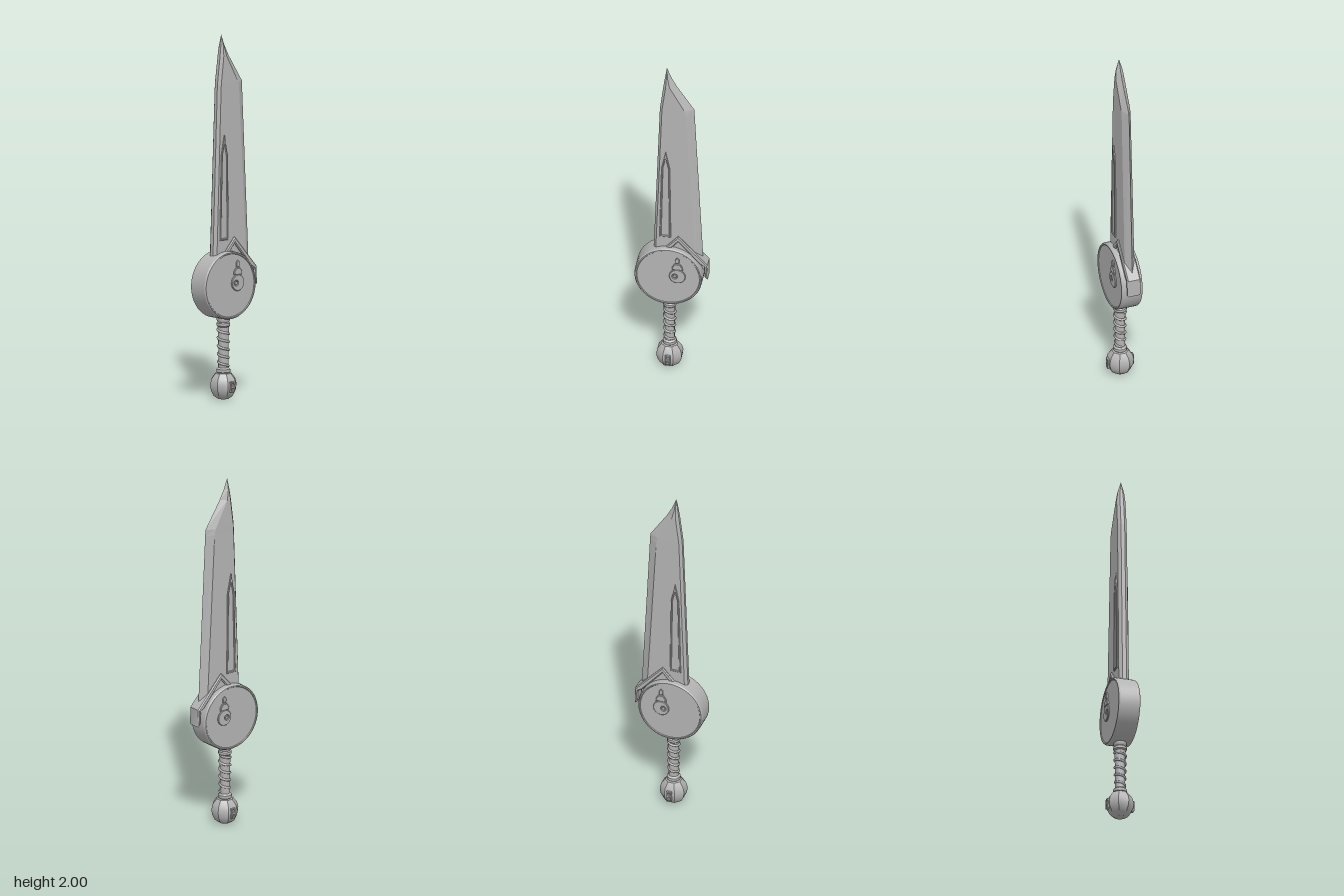
import * as THREE from 'three';
import { toCreasedNormals } from 'three/addons/utils/BufferGeometryUtils.js';

const AXIS_X = -0.015; // shared centre line of handle, pommel and disc
const DISC_Y = 0.627;

export function createModel() {
  const model = new THREE.Group();
  model.name = 'sword';
  const steel = new THREE.MeshStandardMaterial({ color: 0xb4b4b4 });

  const add = (name, geometry, x = 0, y = 0, z = 0) => {
    const mesh = new THREE.Mesh(geometry, steel);
    mesh.name = name;
    mesh.position.set(x, y, z);
    model.add(mesh);
    return mesh;
  };
  const poly = (pts) => new THREE.Shape(pts.map(([x, y]) => new THREE.Vector2(x, y)));
  const circle = (x, y, r) => new THREE.Shape().absarc(x, y, r, 0, Math.PI * 2, false);
  // Slab spanning -half..half in z, so its detail shows on both faces
  const slab = (shape, half, bevel = 0) => {
    const g = new THREE.ExtrudeGeometry(shape, {
      depth: 2 * (half - bevel), bevelEnabled: bevel > 0, bevelThickness: bevel,
      bevelSize: bevel, bevelOffset: -bevel, bevelSegments: 1, curveSegments: 16,
    });
    return toCreasedNormals(g.translate(0, 0, bevel - half), 0.5);
  };
  const lathe = (pts, sides, crease = 0.5) => toCreasedNormals(
    new THREE.LatheGeometry(pts.map(([r, y]) => new THREE.Vector2(r, y)), sides, Math.PI / sides), crease);

  // Blade: stations of [y, back edge x, cutting edge x, half thickness, bevel width]
  const stations = [
    [0.66, -0.106, 0.173, 0.029, 0.04],
    [1.70, -0.069, 0.122, 0.026, 0.045],
    [1.735, -0.067, 0.12, 0.026, 0.05],
    [1.885, -0.048, 0.022, 0.025, 0.035],
    [1.94, -0.04, -0.007, 0.018, 0.018],
    [2.0, -0.031, -0.03, 0.0005, 0.0005],
  ];
  const rings = stations.map(([y, l, r, t, b]) => {
    const a = Math.min(0.014, b * 0.5);
    return [[l, t * 0.4], [l + a, t], [r - b, t], [r, 0], [r - b, -t], [l + a, -t], [l, -t * 0.4]]
      .map(([x, z]) => [x, y, z]);
  });
  const verts = [];
  for (let i = 0; i < rings.length - 1; i++) {
    const lo = rings[i], hi = rings[i + 1];
    for (let j = 0; j < lo.length; j++) {
      const k = (j + 1) % lo.length;
      verts.push(...lo[j], ...lo[k], ...hi[k], ...lo[j], ...hi[k], ...hi[j]);
    }
  }
  const bladeGeo = new THREE.BufferGeometry();
  bladeGeo.setAttribute('position', new THREE.Float32BufferAttribute(verts, 3));
  bladeGeo.computeVertexNormals();
  add('blade', bladeGeo);

  // Raised pointed frame along the back of the blade
  const frame = poly([[-0.067, 0.875], [-0.004, 0.875], [-0.01, 1.34], [-0.034, 1.452], [-0.056, 1.34]]);
  frame.holes.push(poly([[-0.057, 0.886], [-0.048, 1.338], [-0.034, 1.405], [-0.018, 1.338], [-0.013, 0.886]]));
  add('bladeFrame', slab(frame, 0.034, 0.003));

  // Angled guard wrapped over the blade root, with a short hook at the side
  add('guard', slab(poly([
    [-0.045, 0.795], [0.037, 0.888], [0.198, 0.712], [0.198, 0.612], [0.182, 0.632],
    [0.178, 0.7], [0.155, 0.715], [0.037, 0.852], [-0.01, 0.795],
  ]), 0.039, 0.006));

  // Round hub with a thin raised rim on both faces
  const half = [[0.186, 0.053], [0.181, 0.061], [0.175, 0.061], [0.172, 0.057], [0, 0.057]];
  const hubProfile = [...half.map(([r, y]) => [r, -y]).reverse(), ...half];
  add('hub', lathe(hubProfile, 48).rotateX(Math.PI / 2), AXIS_X, DISC_Y);

  // Hub ornament: pierced disc, neck and cap
  const ornament = circle(0.036, 0.638, 0.045);
  ornament.holes.push(circle(0.022, 0.638, 0.014));
  add('ornamentDisc', slab(ornament, 0.065, 0.003));
  add('ornamentStud', slab(circle(0.022, 0.638, 0.009), 0.064));
  add('ornamentNeck', slab(poly([
    [0.006, 0.682], [0.066, 0.682], [0.064, 0.7], [0.05, 0.72], [0.022, 0.72], [0.008, 0.7],
  ]), 0.066, 0.003));
  add('ornamentCap', slab(poly([
    [0.026, 0.725], [0.046, 0.725], [0.047, 0.75], [0.036, 0.762], [0.025, 0.75],
  ]), 0.065, 0.002));

  // Handle core with end collars
  add('grip', lathe([
    [0.03, 0.14], [0.038, 0.147], [0.038, 0.163], [0.028, 0.172], [0.027, 0.28],
    [0.031, 0.395], [0.037, 0.402], [0.037, 0.416], [0.032, 0.422], [0.036, 0.432], [0.036, 0.46],
  ], 12, 0.6), AXIS_X);

  // Spiral wrap around the grip
  const turns = 5;
  const helix = [];
  for (let i = 0; i <= turns * 12; i++) {
    const t = i / (turns * 12), a = t * turns * Math.PI * 2, r = 0.027 + 0.004 * t;
    helix.push(new THREE.Vector3(Math.cos(a) * r, 0.175 + 0.22 * t, Math.sin(a) * r));
  }
  add('gripWrap', new THREE.TubeGeometry(new THREE.CatmullRomCurve3(helix), 120, 0.007, 6), AXIS_X);

  // Eight-sided pommel
  add('pommel', lathe([
    [0, 0], [0.03, 0], [0.056, 0.018], [0.072, 0.05], [0.076, 0.08],
    [0.068, 0.112], [0.046, 0.14], [0, 0.145],
  ], 8, 0.6), AXIS_X);

  // Small pierced badge on the front and back of the pommel
  const badge = poly([[-0.014, 0.042], [0.014, 0.042], [0.014, 0.1], [-0.014, 0.1]]);
  badge.holes.push(circle(0, 0.057, 0.008), circle(0, 0.084, 0.008));
  add('pommelBadge', slab(badge, 0.078, 0.002), AXIS_X);

  return model;
}
